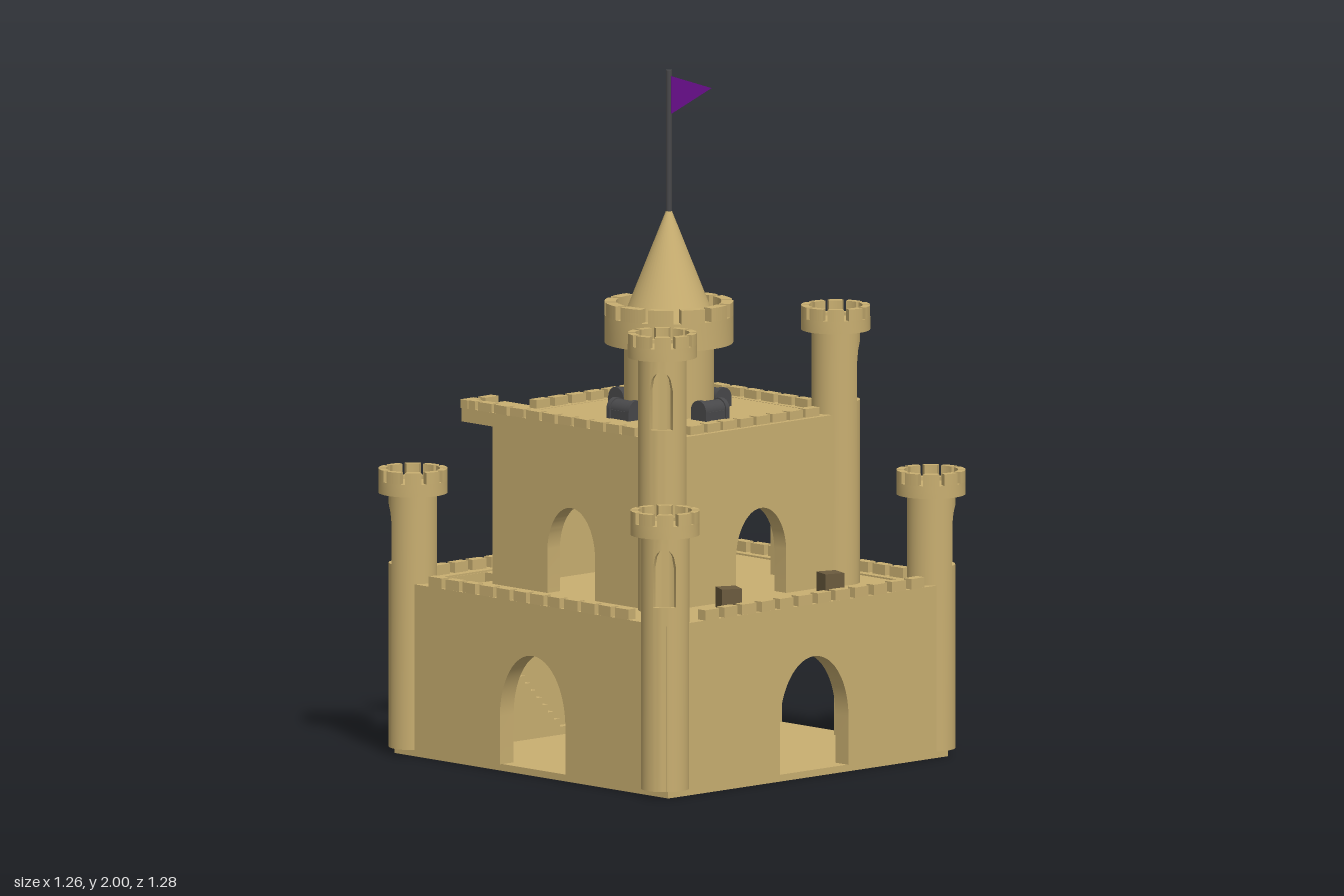
import * as THREE from 'three';
import { toCreasedNormals } from 'three/addons/utils/BufferGeometryUtils.js';

const mat = (name, color) => {
  const m = new THREE.MeshStandardMaterial({ color });
  m.name = name;
  return m;
};

export function createModel() {
  const sand = mat('sandstone', 0xc9af71);
  const wood = mat('crate wood', 0x6b5b3e);
  const iron = mat('dark iron', 0x48484a);
  const purple = mat('flag purple', 0x6a0f8e);
  const model = new THREE.Group();
  model.name = 'castle';

  const add = (name, geo, material, x = 0, y = 0, z = 0, parent = model) => {
    const m = new THREE.Mesh(geo, material);
    m.name = name;
    m.position.set(x, y, z);
    parent.add(m);
    return m;
  };
  // box given by its limits on each axis
  const block = (name, x0, x1, y0, y1, z0, z1, material = sand) =>
    add(name, new THREE.BoxGeometry(x1 - x0, y1 - y0, z1 - z0), material,
      (x0 + x1) / 2, (y0 + y1) / 2, (z0 + z1) / 2);
  const lathe = (pts, seg = 40) => toCreasedNormals(
    new THREE.LatheGeometry(pts.map(p => new THREE.Vector2(...p)), seg), 0.5);

  // wall from u0 to u1 with an arched doorway open at the bottom
  const archWall = (u0, u1, y0, y1, depth, centre, half, spring, rise) => {
    const s = new THREE.Shape();
    s.moveTo(u0, y0);
    s.lineTo(centre - half, y0);
    s.lineTo(centre - half, spring);
    s.absellipse(centre, spring, half, rise, Math.PI, 0, true);
    s.lineTo(centre + half, y0);
    s.lineTo(u1, y0);
    s.lineTo(u1, y1);
    s.lineTo(u0, y1);
    return toCreasedNormals(
      new THREE.ExtrudeGeometry(s, { depth, bevelEnabled: false, curveSegments: 24 }), 0.5);
  };

  // four walls: arches in the front and both sides, plain back
  const storey = (name, x0, x1, z0, z1, y0, y1, t, fc, sc, half, spring, rise) => {
    add(name + 'FrontWall', archWall(x0, x1, y0, y1, t, fc, half, spring, rise), sand, 0, 0, z1 - t);
    for (const x of [x0 + t, x1]) {
      const side = add(name + 'SideWall',
        archWall(z0 + t, z1 - t, y0, y1, t, sc, half, spring, rise), sand, x);
      side.rotation.y = -Math.PI / 2;
    }
    block(name + 'BackWall', x0, x1, y0, y1, z0, z0 + t);
  };

  // row of merlons between two points
  const merlonRow = (x0, z0, x1, z1, y, h, pitch) => {
    const len = Math.hypot(x1 - x0, z1 - z0), n = Math.round(len / pitch);
    for (let i = 0; i <= n; i++) {
      const k = i / n;
      const m = add('merlon', new THREE.BoxGeometry(0.054, h, 0.03), sand,
        x0 + (x1 - x0) * k, y + h / 2, z0 + (z1 - z0) * k);
      m.rotation.y = (x0 === x1 ? Math.PI / 2 : 0) + 0.05 * Math.sin(i * 2.4);
    }
  };

  // round parapet with a sunken floor and a ring of merlons
  const parapet = (x, y, z, R, inner, h, merlonH, count) => {
    const g = new THREE.Group();
    g.name = 'parapet';
    g.position.set(x, y, z);
    model.add(g);
    add('parapetRing', lathe([[0, 0], [R, 0], [R, h], [inner, h], [inner, h - 0.01], [0, h - 0.01]]),
      sand, 0, 0, 0, g);
    const a = Math.PI / count * 0.76, s = new THREE.Shape();
    s.absarc(0, 0, R, -a, a, false);
    s.absarc(0, 0, inner, a, -a, true);
    const geo = new THREE.ExtrudeGeometry(s, { depth: merlonH, bevelEnabled: false, curveSegments: 4 });
    geo.rotateX(-Math.PI / 2);
    for (let i = 0; i < count; i++)
      add('merlon', geo, sand, 0, h, 0, g).rotation.y = (i + 0.3) * 2 * Math.PI / count;
  };

  // hollow shaft with one arched window centred on +z
  const shaftGeometry = (R, ri, y0, y1) => {
    const pos = [], half = 0.5, n = 10, m = 30;
    const sill = y1 - 0.205, spring = y1 - 0.09, rise = 0.055;
    const quad = (...c) => {
      for (const i of [0, 1, 2, 0, 2, 3]) {
        const [a, r, y] = c[i];
        pos.push(Math.sin(a) * r, y, Math.cos(a) * r);
      }
    };
    const skin = (a, b, la, lb, ha, hb) => {
      quad([a, R, la], [b, R, lb], [b, R, hb], [a, R, ha]);
      quad([a, ri, ha], [b, ri, hb], [b, ri, lb], [a, ri, la]);
    };
    const top = a => spring + rise * Math.sqrt(Math.max(0, 1 - (a / half) ** 2));
    for (let i = 0; i < m; i++) {
      const span = 2 * Math.PI - 2 * half;
      skin(half + span * i / m, half + span * (i + 1) / m, y0, y0, y1, y1);
    }
    for (let i = 0; i < n; i++) {
      const a = half * (2 * i / n - 1), b = half * (2 * (i + 1) / n - 1);
      skin(a, b, y0, y0, sill, sill);
      skin(a, b, top(a), top(b), y1, y1);
      quad([a, R, sill], [b, R, sill], [b, ri, sill], [a, ri, sill]);
      quad([a, ri, top(a)], [b, ri, top(b)], [b, R, top(b)], [a, R, top(a)]);
    }
    quad([-half, R, sill], [-half, ri, sill], [-half, ri, spring], [-half, R, spring]);
    quad([half, R, spring], [half, ri, spring], [half, ri, sill], [half, R, sill]);
    const g = new THREE.BufferGeometry();
    g.setAttribute('position', new THREE.Float32BufferAttribute(pos, 3));
    return toCreasedNormals(g, 0.5);
  };
  const tower = (x, z, y0, y1) => {
    add('towerShaft', shaftGeometry(0.07, 0.055, y0, y1), sand, x, 0, z)
      .rotation.y = Math.atan2(x, z);
    add('towerFoot', new THREE.CylinderGeometry(0.069, 0.069, 0.02, 32), sand, x, y0 + 0.011, z);
    parapet(x, y1, z, 0.1, 0.078, 0.037, 0.034, 10);
  };

  // solid flight rising towards -x
  const stairs = (x0, x1, y0, y1, z0, z1, n) => {
    for (let i = 0; i < n; i++) {
      const xa = x0 + (x1 - x0) * i / n, xb = x0 + (x1 - x0) * (i + 1) / n;
      block('stairStep', xa, xb, y0, y1 - (y1 - y0) * i / n, z0, z1);
    }
  };

  // lower storey
  block('baseSlab', -0.57, 0.545, 0, 0.02, -0.56, 0.585);
  storey('lower', -0.58, 0.545, -0.565, 0.59, 0.02, 0.505, 0.055, 0.007, 0.028, 0.137, 0.16, 0.193);
  const deck = new THREE.Shape([[-0.53, -0.515], [0.495, -0.515], [0.495, 0.54], [-0.53, 0.54]]
    .map(p => new THREE.Vector2(...p)));
  deck.holes.push(new THREE.Path([[-0.522, -0.508], [-0.26, -0.508], [-0.26, -0.38], [-0.522, -0.38]]
    .map(p => new THREE.Vector2(...p))));
  const deckGeo = new THREE.ExtrudeGeometry(deck, { depth: 0.03, bevelEnabled: false });
  deckGeo.rotateX(Math.PI / 2);
  add('deck', deckGeo, sand, 0, 0.5, 0);
  stairs(-0.522, -0.06, 0.02, 0.49, -0.508, -0.38, 20);
  merlonRow(-0.4, 0.575, 0.42, 0.575, 0.505, 0.03, 0.073);
  merlonRow(-0.4, -0.55, 0.4, -0.55, 0.505, 0.03, 0.073);
  merlonRow(-0.565, -0.38, -0.565, 0.4, 0.505, 0.03, 0.073);
  merlonRow(0.53, -0.4, 0.53, 0.4, 0.505, 0.03, 0.073);
  for (const [x, z] of [[-0.535, -0.52], [0.515, -0.543], [-0.535, 0.535], [0.53, 0.53]])
    tower(x, z, 0.02, 0.763);

  // upper storey with the outside stair and overhanging landing
  storey('upper', -0.39, 0.36, -0.34, 0.365, 0.5, 1.0, 0.05, 0.01, -0.01, 0.1, 0.62, 0.14);
  block('upperRoof', -0.345, 0.315, 0.96, 0.999, -0.295, 0.32);
  stairs(-0.24, 0.225, 0.5, 1.0, -0.47, -0.34, 20);
  block('landing', -0.39, -0.24, 0.96, 1.0, -0.47, -0.34);
  merlonRow(-0.23, 0.335, 0.23, 0.335, 1.0, 0.025, 0.07);
  merlonRow(-0.22, -0.32, 0.28, -0.32, 1.0, 0.025, 0.07);
  merlonRow(-0.375, -0.44, -0.375, 0.23, 1.0, 0.025, 0.07);
  merlonRow(0.343, -0.3, 0.343, 0.2, 1.0, 0.025, 0.07);
  merlonRow(-0.367, -0.455, -0.297, -0.455, 1.0, 0.025, 0.07);
  tower(-0.36, 0.34, 0.5, 1.24);
  tower(0.35, 0.32, 0.5, 1.24);

  // central turret, roof and flag
  const cx = -0.01;
  add('turret', new THREE.CylinderGeometry(0.13, 0.13, 0.215, 48), sand, cx, 1.105, 0);
  parapet(cx, 1.205, 0, 0.186, 0.153, 0.08, 0.04, 12);
  add('turretRoof', new THREE.ConeGeometry(0.133, 0.335, 48), sand, cx, 1.4425, 0);
  add('flagPole', new THREE.CylinderGeometry(0.009, 0.009, 0.42, 12), iron, cx, 1.79, 0);
  const flag = new THREE.ConeGeometry(Math.SQRT1_2, 1, 4).toNonIndexed();
  flag.rotateY(Math.PI / 4);
  flag.rotateZ(-Math.PI / 2);
  flag.scale(0.17, 0.11, 0.022);
  flag.computeVertexNormals();
  add('flag', flag, purple, cx + 0.085, 1.928, 0);

  // round-lidded chests around the turret
  for (let i = 0; i < 4; i++) {
    const a = i * Math.PI / 2, g = new THREE.Group();
    g.name = 'chest';
    g.position.set(cx + 0.173 * Math.sin(a), 1.0, 0.173 * Math.cos(a));
    g.rotation.y = a;
    model.add(g);
    add('chestBody', new THREE.BoxGeometry(0.09, 0.025, 0.054), iron, 0, 0.0125, 0, g);
    const half = (r, w) => new THREE.CylinderGeometry(r, r, w, 16, 1, false, 0, Math.PI).rotateZ(Math.PI / 2);
    add('chestLid', half(0.028, 0.09), iron, 0, 0.026, 0, g);
    for (const x of [-0.04, 0.04]) {
      add('chestBand', half(0.032, 0.014), iron, x, 0.026, 0, g);
      add('chestBandBase', new THREE.BoxGeometry(0.014, 0.026, 0.064), iron, x, 0.013, 0, g);
    }
  }

  // fountain in the courtyard
  add('fountain', lathe([[0, 0], [0.14, 0], [0.14, 0.025], [0.05, 0.025], [0.05, 0.075], [0.11, 0.108],
    [0.11, 0.13], [0.095, 0.13], [0.08, 0.115], [0, 0.115]]), sand, cx, 0.02, 0.02);

  // crates on the deck, in the courtyard and in the upper room
  const crate = (x, y, z, turn = 0) => {
    add('crate', new THREE.BoxGeometry(0.06, 0.06, 0.06), wood, x, y + 0.03, z).rotation.y = turn;
  };
  crate(-0.2, 0.5, 0.45, -0.45);
  crate(0.205, 0.5, 0.45, -0.3);
  for (const s of [-1, 1]) {
    crate(s * 0.3, 0.02, -s * 0.33, 0.3);
    crate(s * 0.35, 0.02, -s * 0.28, -0.2);
    crate(s * 0.31, 0.08, -s * 0.32, 0.1);
  }
  for (const z of [-0.062, 0, 0.062]) crate(0.14, 0.5, z);
  for (const z of [-0.02, 0.042]) crate(0.14, 0.56, z);
  return model;
}
